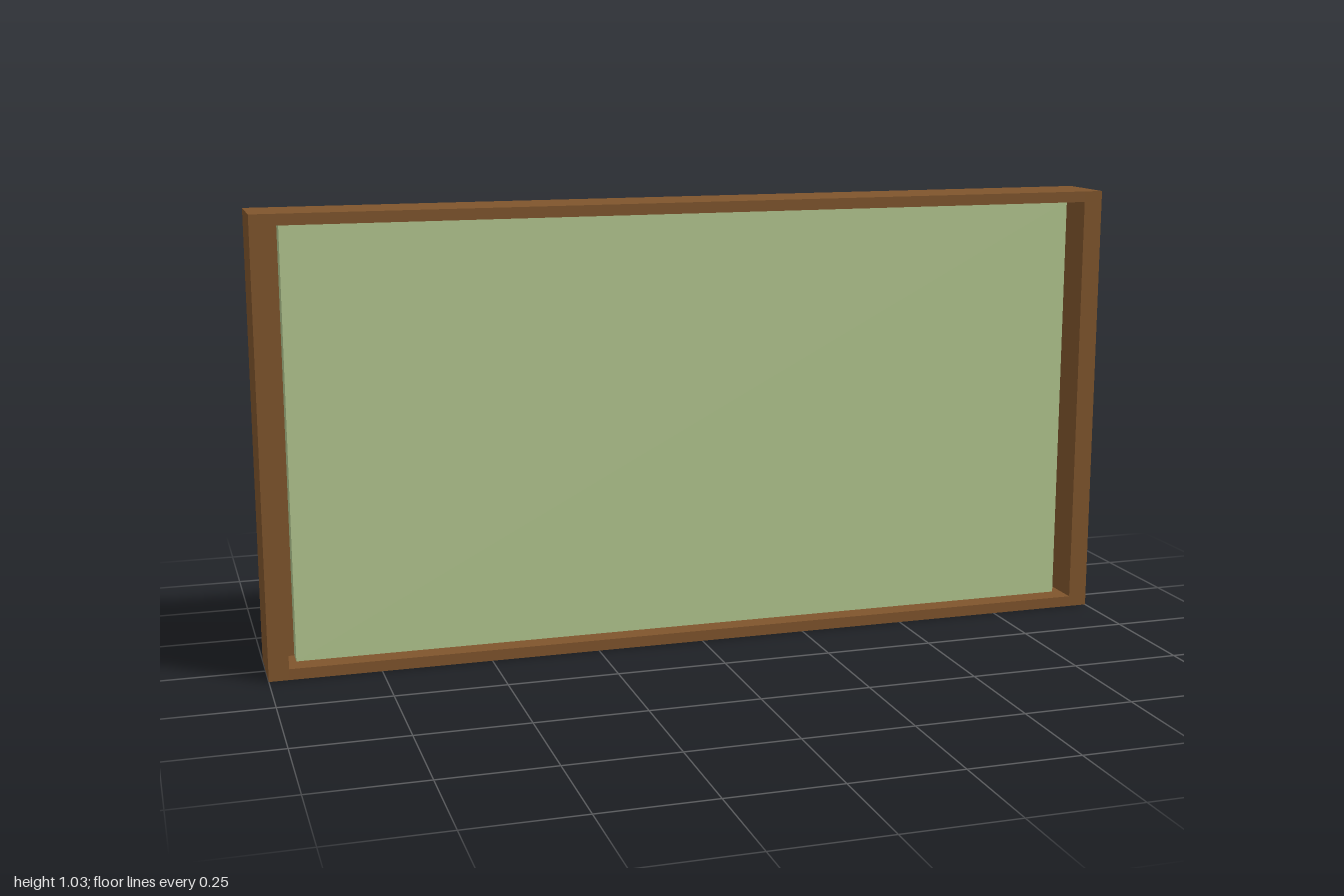
import * as THREE from 'three';

export function createModel() {
  const model = new THREE.Group();
  const wood = new THREE.MeshStandardMaterial({ color: 0x80552c });
  wood.name = 'brown wood';
  const felt = new THREE.MeshStandardMaterial({ color: 0xb4c890 });
  felt.name = 'pale green';

  // Box given by its lower and upper corners
  function box(name, material, [x0, y0, z0], [x1, y1, z1]) {
    const mesh = new THREE.Mesh(new THREE.BoxGeometry(x1 - x0, y1 - y0, z1 - z0), material);
    mesh.position.set((x0 + x1) / 2, (y0 + y1) / 2, (z0 + z1) / 2);
    mesh.name = name;
    model.add(mesh);
  }

  const height = 1.028, front = 0.078, seam = -0.017, rail = 0.025, inner = 0.955;

  // Backing board, a hair short of the frame's foot
  box('backBoard', wood, [-1, 0.003, -front], [1, height, seam]);

  // Writing surface, with a narrow gap to each side post
  box('panel', felt, [-0.934, rail, seam], [0.934, height - rail, 0.028]);

  // Frame: two posts with rails between them
  box('rightPost', wood, [-1, 0, seam], [-inner, height, front]);
  box('leftPost', wood, [inner, 0, seam], [1, height, front]);
  box('bottomRail', wood, [-inner, 0, seam], [inner, rail, front]);
  box('topRail', wood, [-inner, height - rail, seam], [inner, height, front]);

  return model;
}
